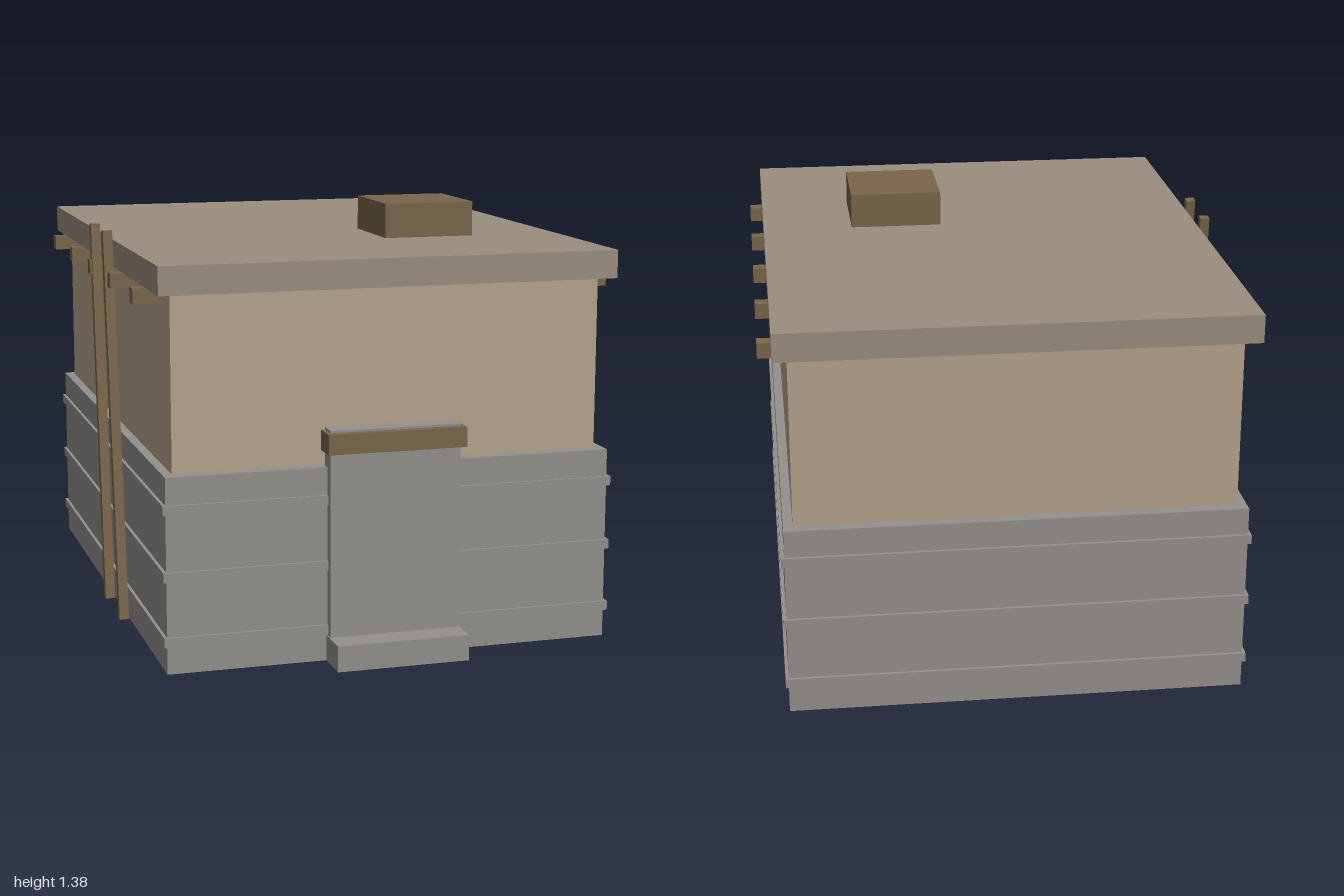
import * as THREE from 'three';

const material = (color) => new THREE.MeshStandardMaterial({ color });

export function createModel() {
  const model = new THREE.Group();
  const stone = material(0x93908d);
  const plaster = material(0xb5a48c);
  const clay = material(0x9a8e7f);
  const timber = material(0x7a664b);

  // Axis-aligned block given by its extents
  const block = (name, mat, [x0, x1], [y0, y1], [z0, z1]) => {
    const mesh = new THREE.Mesh(new THREE.BoxGeometry(x1 - x0, y1 - y0, z1 - z0), mat);
    mesh.position.set((x0 + x1) / 2, (y0 + y1) / 2, (z0 + z1) / 2);
    mesh.name = name;
    model.add(mesh);
    return mesh;
  };

  // Stone lower storey with three projecting courses
  block('lowerStorey', stone, [-0.725, 0.725], [0, 0.622], [-0.983, 0.875]);
  for (const y of [0.103, 0.31, 0.52])
    block('stoneCourse', stone, [-0.735, 0.735], [y - 0.015, y + 0.015], [-0.993, 0.885]);

  // Plastered upper storey and flat roof
  block('upperStorey', plaster, [-0.695, 0.695], [0.622, 1.177], [-0.945, 0.835]);
  block('roofSlab', clay, [-0.74, 0.74], [1.177, 1.267], [-1, 0.885]);
  block('roofHatch', timber, [0.135, 0.44], [1.267, 1.381], [0.065, 0.372]);

  // Roof beams poking out on both sides
  for (let i = 0; i < 5; i++) {
    const z = -0.8 + i * 0.37;
    for (const side of [-1, 1]) {
      const ends = side < 0 ? [-0.782, -0.65] : [0.65, 0.782];
      block('roofBeam', timber, ends, [1.128, 1.177], [z - 0.024, z + 0.024]);
    }
  }

  // Entrance: door slab, lintel and doorstep
  block('door', stone, [-0.212, 0.212], [0, 0.743], [0.845, 0.908]);
  block('lintel', timber, [-0.225, 0.225], [0.672, 0.736], [0.845, 0.932]);
  block('doorstep', stone, [-0.215, 0.215], [0, 0.083], [0.86, 1]);

  // Two leaning ladder poles on the right wall
  for (const [zTop, zBottom] of [[-0.06, 0.087], [0.165, 0.342]]) {
    const top = new THREE.Vector3(-0.76, 1.298, zTop);
    const bottom = new THREE.Vector3(-0.76, 0.024, zBottom);
    const pole = new THREE.Mesh(new THREE.BoxGeometry(0.031, top.distanceTo(bottom), 0.031), timber);
    pole.position.addVectors(top, bottom).multiplyScalar(0.5);
    pole.rotation.x = Math.atan2(zTop - zBottom, top.y - bottom.y);
    pole.name = 'ladderPole';
    model.add(pole);
  }

  return model;
}
